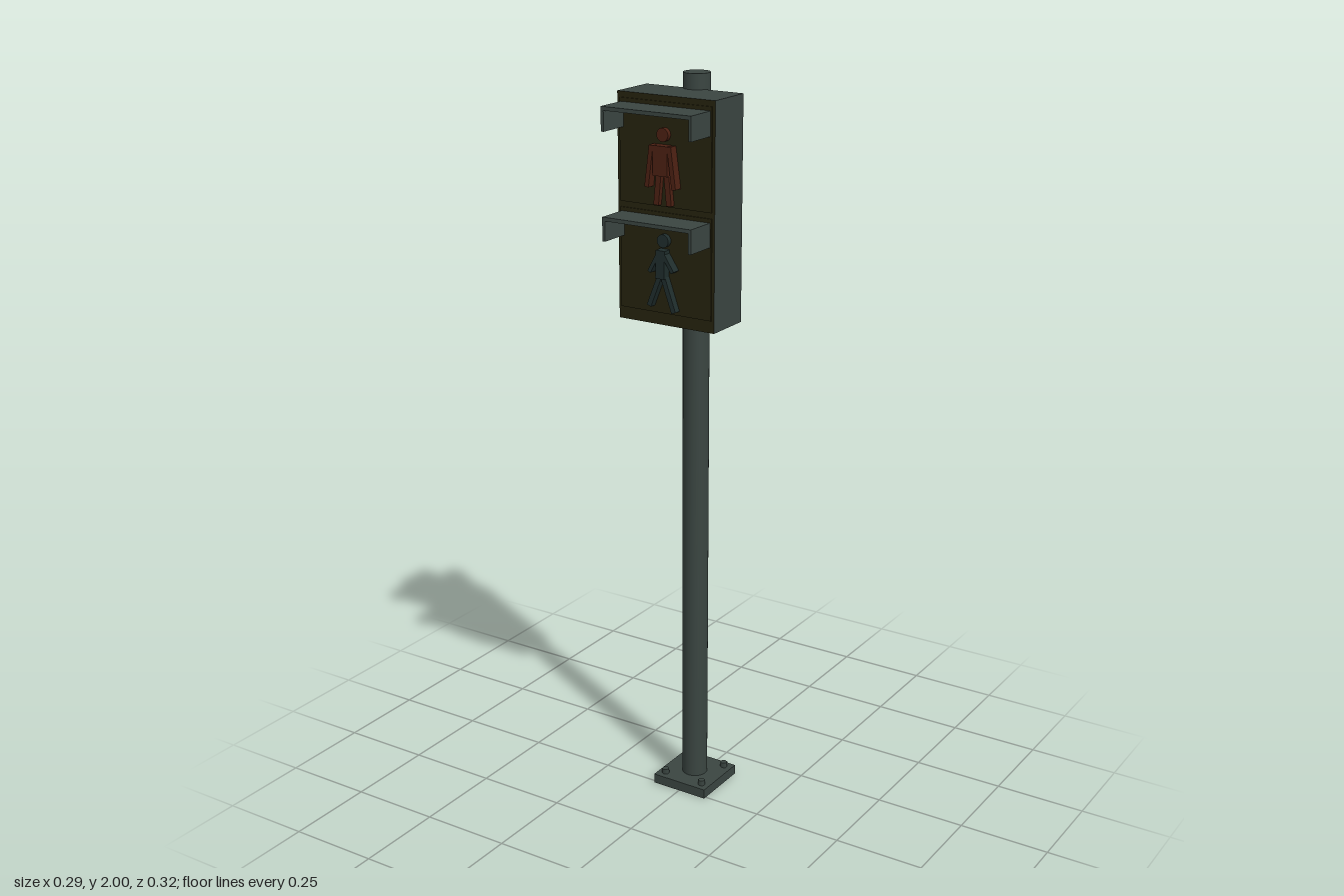
import * as THREE from 'three';

export function createModel() {
  const root = new THREE.Group();
  const mat = (name, color) => {
    const m = new THREE.MeshStandardMaterial({ color });
    m.name = name;
    return m;
  };
  const metal = mat('dark green metal', 0x3a4541);
  const olive = mat('dark olive lens', 0x26230e);
  const red = mat('unlit red', 0x4c2012);
  const green = mat('unlit green', 0x1f2d2c);

  const add = (parent, name, geometry, material, x, y, z) => {
    const mesh = new THREE.Mesh(geometry, material);
    mesh.name = name;
    mesh.position.set(x, y, z);
    parent.add(mesh);
    return mesh;
  };
  const box = (parent, name, w, h, d, material, x, y, z) =>
    add(parent, name, new THREE.BoxGeometry(w, h, d), material, x, y, z);

  // Pole, foot plate and hexagonal bolts
  const poleZ = -0.075;
  add(root, 'pole', new THREE.CylinderGeometry(0.035, 0.035, 1.98, 32), metal, 0, 1.01, poleZ);
  box(root, 'basePlate', 0.167, 0.027, 0.167, metal, 0, 0.0135, poleZ);
  for (const x of [-0.06, 0.06]) {
    for (const z of [-0.06, 0.06]) {
      add(root, 'bolt', new THREE.CylinderGeometry(0.01, 0.01, 0.016, 6), metal, x, 0.034, poleZ + z);
    }
  }

  // Housing with an olive front face
  box(root, 'housing', 0.286, 0.582, 0.131,
    [metal, metal, metal, metal, olive, metal], 0, 1.669, 0.0025);

  // Lens panels and hoods, one set per signal
  for (const top of [1.935, 1.66]) {
    const signal = new THREE.Group();
    signal.name = 'signal';
    root.add(signal);
    box(signal, 'lensPanel', 0.27, 0.26, 0.004, olive, 0, top - 0.12, 0.069);
    box(signal, 'hoodTop', 0.262, 0.01, 0.09, metal, 0, top - 0.005, 0.113);
    for (const s of [-1, 1]) {
      box(signal, 'hoodSide', 0.008, 0.062, 0.09, metal, s * 0.127, top - 0.031, 0.113);
    }
  }

  // A limb is a flat bar between two points of the panel
  const limb = (parent, name, a, b, width, depth, material) => {
    const dx = b[0] - a[0], dy = b[1] - a[1];
    const bar = box(parent, name, width, Math.hypot(dx, dy), depth, material,
      (a[0] + b[0]) / 2, (a[1] + b[1]) / 2, 0.07 + depth / 2);
    bar.rotation.z = Math.atan2(-dx, dy);
  };
  const head = (parent, y, material) => {
    const disc = add(parent, 'head', new THREE.CylinderGeometry(0.017, 0.017, 0.014, 20), material, 0, y, 0.077);
    disc.rotation.x = Math.PI / 2;
  };

  // Standing figure
  const standing = new THREE.Group();
  standing.name = 'standingFigure';
  root.add(standing);
  head(standing, 1.866, red);
  box(standing, 'torso', 0.042, 0.075, 0.025, red, 0, 1.803, 0.0825);
  for (const s of [-1, 1]) {
    limb(standing, 'arm', [s * 0.026, 1.84], [s * 0.04, 1.735], 0.012, 0.025, red);
    limb(standing, 'leg', [s * 0.011, 1.772], [s * 0.019, 1.69], 0.015, 0.014, red);
  }

  // Walking figure
  const walking = new THREE.Group();
  walking.name = 'walkingFigure';
  root.add(walking);
  head(walking, 1.6, green);
  limb(walking, 'torso', [0, 1.578], [-0.002, 1.505], 0.026, 0.025, green);
  limb(walking, 'frontArm', [0.006, 1.57], [0.036, 1.525], 0.01, 0.025, green);
  limb(walking, 'backArm', [-0.006, 1.57], [-0.034, 1.52], 0.01, 0.025, green);
  limb(walking, 'frontLeg', [0.002, 1.515], [0.036, 1.42], 0.013, 0.02, green);
  limb(walking, 'backLeg', [-0.004, 1.515], [-0.038, 1.43], 0.013, 0.02, green);

  return root;
}
